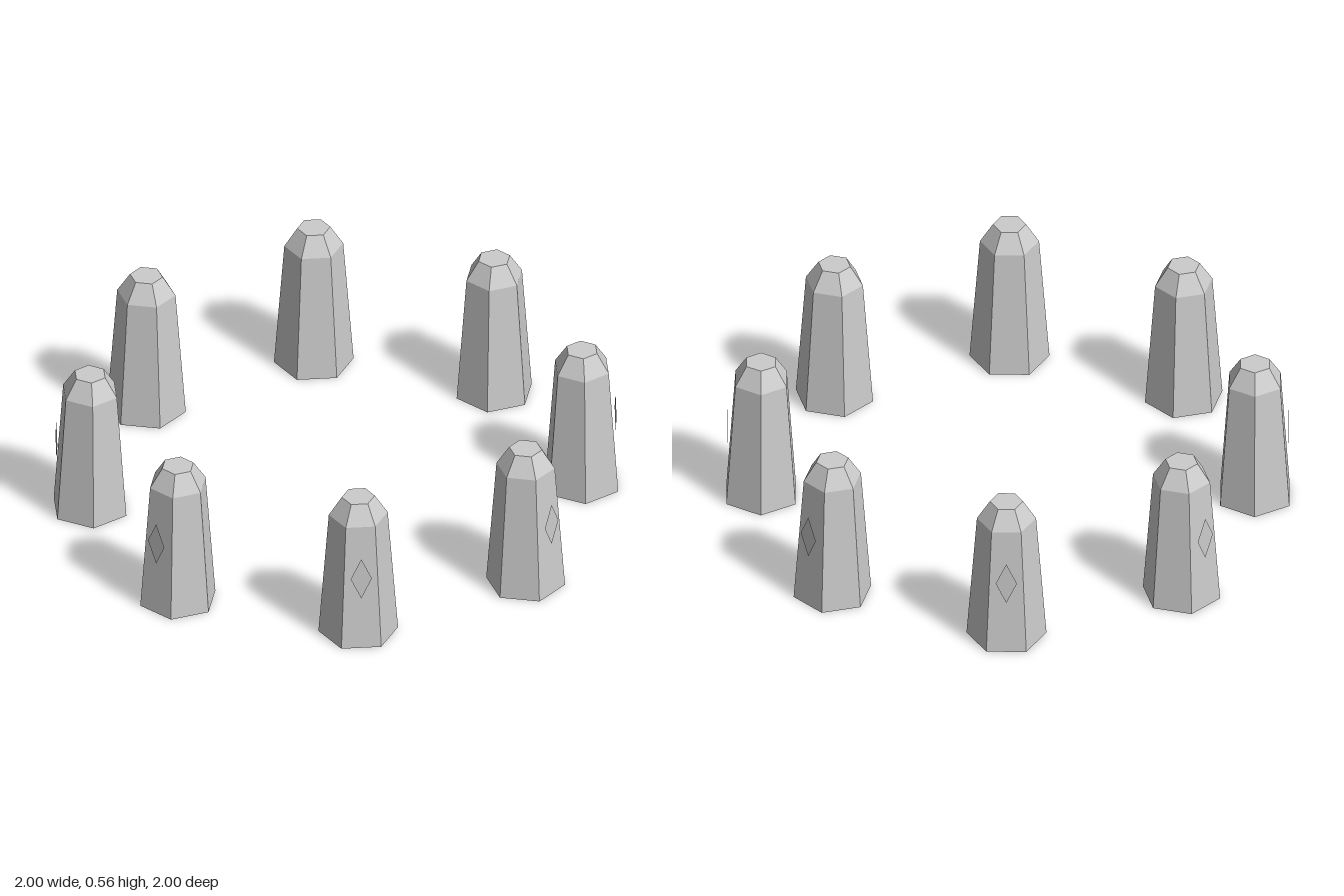
import * as THREE from 'three';

const COUNT = 8;
const RING_RADIUS = 0.877;

export function createModel() {
  const group = new THREE.Group();
  group.name = 'stoneCircle';

  const stoneMaterial = new THREE.MeshStandardMaterial({ color: 0xcccccc, flatShading: true });
  const runeMaterial = new THREE.MeshStandardMaterial({ color: 0xcccccc, side: THREE.DoubleSide });

  // Tapered hexagonal pillar with a chamfered top, one flat side facing +z
  const profile = [[0, 0], [0.142, 0], [0.105, 0.49], [0.059, 0.562], [0, 0.562]]
    .map(([r, y]) => new THREE.Vector2(r, y));
  const stoneGeometry = new THREE.LatheGeometry(profile, 6, Math.PI / 6);

  // Thin upright diamond in front of the outer face
  const diamond = new THREE.Shape([[0.038, 0], [0, 0.083], [-0.038, 0], [0, -0.083]]
    .map(([x, y]) => new THREE.Vector2(x, y)));
  const runeGeometry = new THREE.ShapeGeometry(diamond);

  // Stones around the ring, each facing outward
  for (let i = 0; i < COUNT; i++) {
    const angle = (i / COUNT) * Math.PI * 2;
    const standingStone = new THREE.Group();
    standingStone.name = `standingStone${i + 1}`;

    const pillar = new THREE.Mesh(stoneGeometry, stoneMaterial);
    pillar.name = 'pillar';

    const rune = new THREE.Mesh(runeGeometry, runeMaterial);
    rune.name = 'diamondMark';
    rune.position.set(0, 0.29, 0.12);

    standingStone.add(pillar, rune);
    standingStone.position.set(Math.sin(angle) * RING_RADIUS, 0, Math.cos(angle) * RING_RADIUS);
    standingStone.rotation.y = angle;
    group.add(standingStone);
  }
  return group;
}
